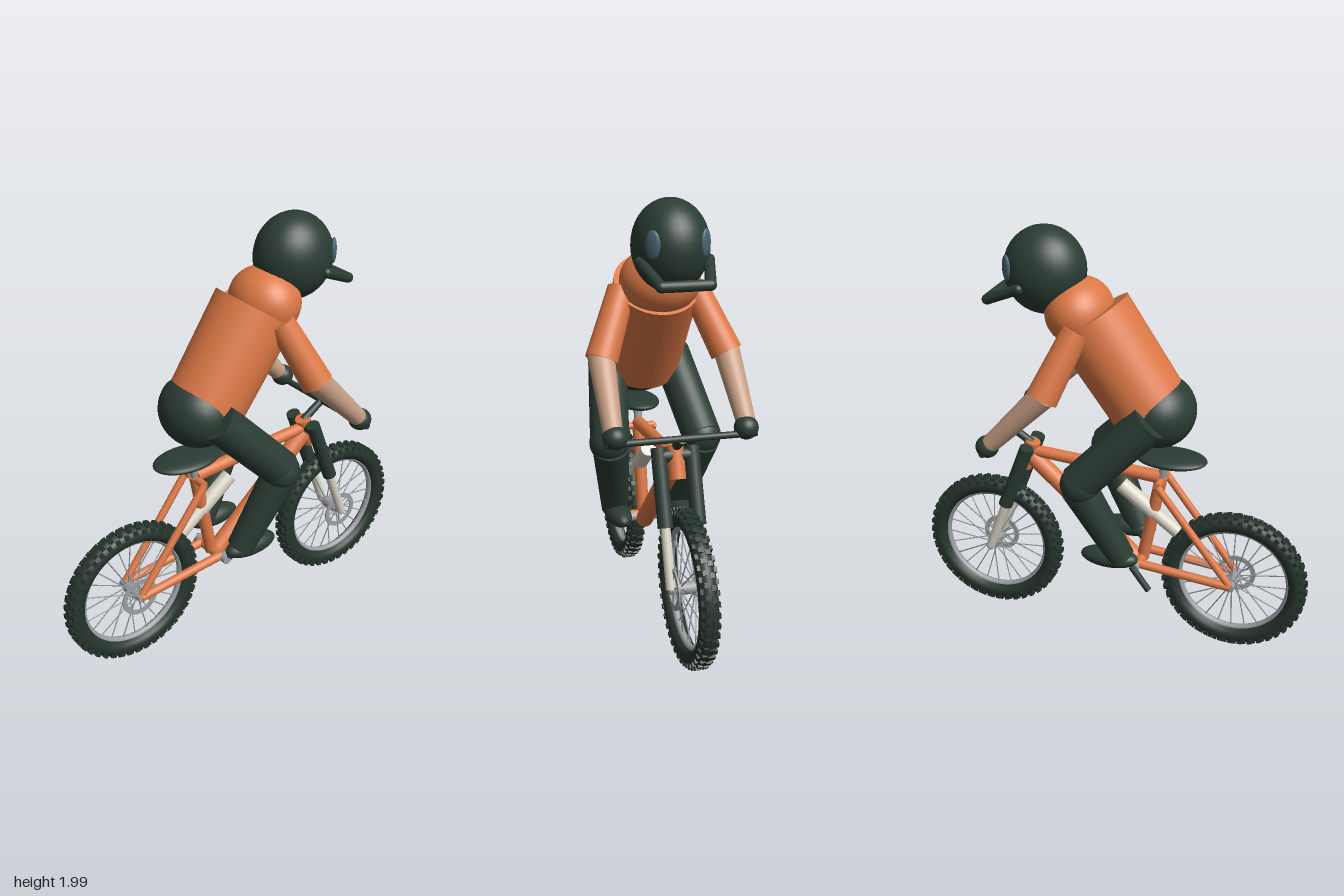
import * as THREE from 'three';

const mat = (name, color) => {
  const m = new THREE.MeshStandardMaterial({ color });
  m.name = name;
  return m;
};

export function createModel() {
  const model = new THREE.Group();
  model.name = 'bikeAndRider';
  const dark = mat('darkGreen', 0x2b3c34);
  const tyreMat = mat('tyreBlack', 0x26352e);
  const orange = mat('orange', 0xdc7846);
  const skin = mat('skin', 0xc69e84);
  const cream = mat('cream', 0xd8d2c4);
  const metal = mat('metal', 0x9a9ea2);
  const glass = mat('gogglesBlue', 0x4a6674);

  const V = (p) => new THREE.Vector3(...p);
  const add = (name, geo, m, pos = [0, 0, 0], parent = model) => {
    const mesh = new THREE.Mesh(geo, m);
    mesh.name = name;
    mesh.position.set(...pos);
    parent.add(mesh);
    return mesh;
  };
  // tapered cylinder between two points
  const rod = (name, a, b, ra, rb, m, seg = 20, parent = model) => {
    const A = V(a), B = V(b), d = B.clone().sub(A);
    const mid = A.clone().add(B).multiplyScalar(0.5);
    const mesh = add(name, new THREE.CylinderGeometry(rb, ra, d.length(), seg), m, mid.toArray(), parent);
    mesh.quaternion.setFromUnitVectors(new THREE.Vector3(0, 1, 0), d.normalize());
    return mesh;
  };
  const ball = (name, pos, radii, m) => {
    const mesh = add(name, new THREE.SphereGeometry(1, 32, 20), m, pos);
    mesh.scale.set(...radii);
    return mesh;
  };

  // wheels, built in the YZ plane
  const buildWheel = (name, z) => {
    const w = new THREE.Group();
    w.name = name;
    w.position.set(0, 0.36, z);
    model.add(w);
    const tyre = add('tyre', new THREE.TorusGeometry(0.304, 0.042, 14, 64), tyreMat, [0, 0, 0], w);
    tyre.rotation.y = Math.PI / 2;
    const rim = add('rim', new THREE.TorusGeometry(0.268, 0.017, 10, 64), metal, [0, 0, 0], w);
    rim.rotation.y = Math.PI / 2;

    // tread knobs: two centre rows and two staggered shoulder rows
    const n = 44;
    const centre = new THREE.BoxGeometry(0.022, 0.014, 0.022);
    const shoulder = new THREE.BoxGeometry(0.014, 0.02, 0.022);
    for (let i = 0; i < n; i++) {
      for (const s of [-1, 1]) {
        for (const [geo, x, r, shift] of [[centre, 0.014, 0.344, 0], [shoulder, 0.035, 0.328, 0.5]]) {
          const a = ((i + shift + (s > 0 ? 0.25 : 0)) / n) * Math.PI * 2;
          const k = add('knob', geo, tyreMat, [s * x, Math.cos(a) * r, Math.sin(a) * r], w);
          k.rotation.x = a;
        }
      }
    }
    // spokes alternate between the hub flanges
    for (let i = 0; i < 24; i++) {
      const a = (i / 24) * Math.PI * 2, x = i % 2 ? 0.035 : -0.035;
      rod('spoke', [x, Math.cos(a) * 0.02, Math.sin(a) * 0.02],
        [0, Math.cos(a) * 0.26, Math.sin(a) * 0.26], 0.003, 0.003, metal, 6, w);
    }
    rod('hub', [-0.045, 0, 0], [0.045, 0, 0], 0.028, 0.028, metal, 20, w);
    rod('axle', [-0.085, 0, 0], [0.085, 0, 0], 0.02, 0.02, metal, 16, w);

    // brake disc
    const ring = new THREE.Shape().absarc(0, 0, 0.093, 0, Math.PI * 2);
    ring.holes.push(new THREE.Path().absarc(0, 0, 0.07, 0, Math.PI * 2, true));
    const disc = add('brakeDisc',
      new THREE.ExtrudeGeometry(ring, { depth: 0.006, bevelEnabled: false, curveSegments: 24 }),
      metal, [0.06, 0, 0], w);
    disc.rotation.y = Math.PI / 2;
    for (let i = 0; i < 6; i++) {
      const a = (i / 6) * Math.PI * 2;
      rod('discArm', [0.063, 0, 0], [0.063, Math.cos(a) * 0.075, Math.sin(a) * 0.075], 0.004, 0.004, metal, 6, w);
    }
  };
  buildWheel('rearWheel', 0.61);
  buildWheel('frontWheel', -0.61);

  // frame
  rod('topTube', [0, 0.85, 0.24], [0, 0.89, -0.38], 0.032, 0.028, orange);
  rod('downTube', [0, 0.39, 0.13], [0, 0.86, -0.4], 0.042, 0.042, orange);
  rod('seatTube', [0, 0.85, 0.245], [0, 0.4, 0.16], 0.03, 0.03, orange);
  rod('headTube', [0, 0.94, -0.395], [0, 0.8, -0.445], 0.038, 0.038, orange);
  rod('stayBridge', [-0.075, 0.835, 0.245], [0.075, 0.835, 0.245], 0.018, 0.018, orange);
  rod('pivot', [-0.075, 0.405, 0.16], [0.075, 0.405, 0.16], 0.024, 0.024, orange);
  rod('seatPost', [0, 0.84, 0.245], [0, 0.95, 0.265], 0.02, 0.02, metal);
  ball('saddle', [0, 0.955, 0.29], [0.108, 0.031, 0.17], dark);
  rod('shockBody', [0, 0.655, 0.215], [0, 0.78, 0.05], 0.037, 0.037, cream);
  rod('shockShaft', [0, 0.57, 0.33], [0, 0.66, 0.21], 0.032, 0.032, cream);
  rod('bottomBracket', [-0.12, 0.4, 0.15], [0.12, 0.4, 0.15], 0.022, 0.022, metal);

  // steering
  rod('forkCrown', [-0.075, 0.9, -0.412], [0.075, 0.9, -0.412], 0.03, 0.03, dark);
  rod('stem', [0, 0.93, -0.4], [0, 1.0, -0.51], 0.02, 0.018, dark);
  rod('handlebar', [-0.335, 1.005, -0.51], [0.335, 1.005, -0.51], 0.015, 0.015, dark);

  // parts repeated on both sides
  for (const s of [-1, 1]) {
    const side = s > 0 ? 'left' : 'right';
    const X = (x) => s * x;
    rod(side + 'ChainStay', [X(0.073), 0.36, 0.61], [X(0.073), 0.405, 0.16], 0.02, 0.022, orange);
    rod(side + 'SeatStay', [X(0.07), 0.36, 0.61], [X(0.075), 0.835, 0.245], 0.018, 0.018, orange);
    rod(side + 'ForkUpper', [X(0.075), 0.935, -0.397], [X(0.075), 0.61, -0.52], 0.034, 0.034, dark);
    rod(side + 'ForkLower', [X(0.075), 0.63, -0.51], [X(0.075), 0.36, -0.61], 0.022, 0.022, cream);
    // crank arms point opposite ways
    rod(side + 'Crank', [X(0.12), 0.41, 0.14], [X(0.12), 0.4 + s * 0.105, 0.15 - s * 0.075], 0.016, 0.016, dark);

    // leg
    rod(side + 'Thigh', [X(0.155), 1.2, 0.23], [X(0.22), 0.87, -0.09], 0.092, 0.09, dark, 28);
    ball(side + 'Knee', [X(0.22), 0.87, -0.08], [0.092, 0.09, 0.092], dark);
    rod(side + 'Shin', [X(0.215), 0.85, -0.09], [X(0.155), 0.48, 0.1], 0.085, 0.064, dark, 28);
    ball(side + 'Shoe', [X(0.155), 0.47, 0.04], [0.06, 0.05, 0.14], dark);

    // arm
    rod(side + 'Sleeve', [X(0.165), 1.585, -0.11], [X(0.285), 1.3, -0.23], 0.062, 0.073, orange, 28);
    rod(side + 'Forearm', [X(0.285), 1.32, -0.22], [X(0.295), 1.045, -0.485], 0.06, 0.042, skin, 28);
    ball(side + 'Glove', [X(0.29), 1.03, -0.5], [0.054, 0.052, 0.054], dark);

    // goggle lens lying on the helmet surface
    const lens = ball(side + 'Lens', [X(0.113), 1.825, -0.448], [0.035, 0.06, 0.014], glass);
    lens.rotation.y = s * (Math.PI - 0.78);
  }

  // torso and head
  ball('hips', [0, 1.19, 0.23], [0.187, 0.168, 0.168], dark);
  rod('torso', [0, 1.18, 0.2], [0, 1.6, -0.095], 0.183, 0.194, orange, 40);
  ball('shoulders', [0, 1.625, -0.15], [0.182, 0.155, 0.155], orange);
  ball('helmet', [0, 1.8, -0.31], [0.168, 0.2, 0.19], dark);

  // chin bar, a bent tube around the face
  const bar = new THREE.CurvePath();
  const pts = [[-0.15, 1.745, -0.38], [-0.105, 1.668, -0.55], [0.105, 1.668, -0.55], [0.15, 1.745, -0.38]];
  for (let i = 0; i < 3; i++) rod('chinBar', pts[i], pts[i + 1], 0.024, 0.024, dark);
  for (const p of pts) ball('chinBarJoint', p, [0.024, 0.024, 0.024], dark);

  return model;
}
